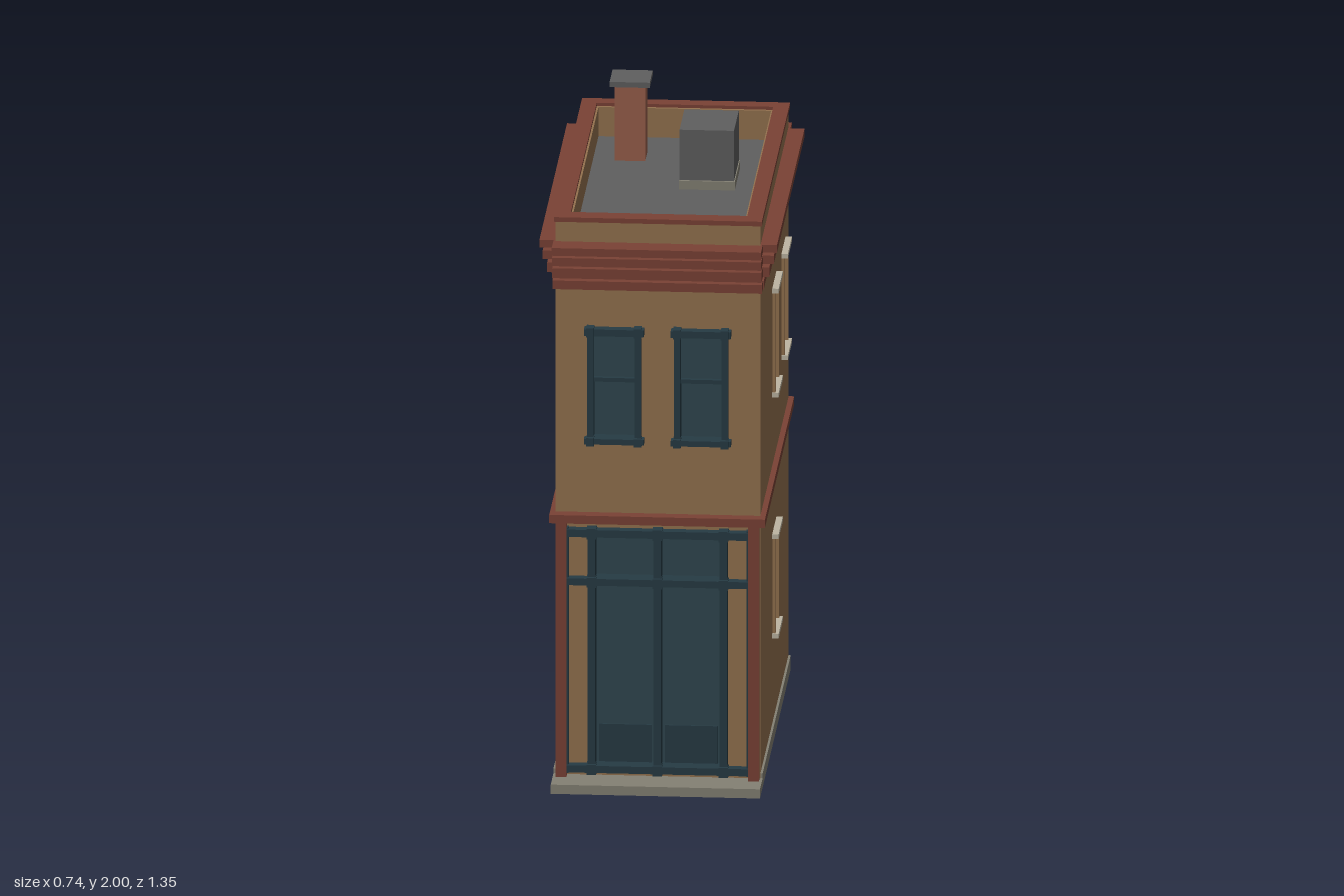
import * as THREE from 'three';

const mat = (name, color) => {
  const m = new THREE.MeshStandardMaterial({ color });
  m.name = name;
  return m;
};
const wall = mat('tan wall', 0x94724f);
const trim = mat('red trim', 0x7a4235);
const brick = mat('chimney brick', 0x985f4b);
const roofGrey = mat('roof grey', 0x5f5f5f);
const stone = mat('base stone', 0x848174);
const cream = mat('cream stone', 0xbdb5a2);
const frame = mat('dark teal frame', 0x263b44);
const glass = mat('teal panel', 0x304750);

// Box given by its minimum and maximum on each axis
function box(parent, name, m, x0, x1, y0, y1, z0, z1) {
  const mesh = new THREE.Mesh(new THREE.BoxGeometry(x1 - x0, y1 - y0, z1 - z0), m);
  mesh.position.set((x0 + x1) / 2, (y0 + y1) / 2, (z0 + z1) / 2);
  mesh.name = name;
  parent.add(mesh);
  return mesh;
}

const W = 0.318, FRONT = 0.565, BACK = -0.62, T = 0.05;
const MID = (FRONT + BACK) / 2;

// A wall with openings [x0, x1, y0, y1]; its outer face lies on local z = 0
function facade(name, halfWidth, openings) {
  const g = new THREE.Group();
  g.name = name;
  const rect = (P, x0, x1, y0, y1) => new P([[x0, y0], [x1, y0], [x1, y1], [x0, y1]]
    .map(([x, y]) => new THREE.Vector2(x, y)));
  const shape = rect(THREE.Shape, -halfWidth, halfWidth, 0.03, 1.835);
  for (const o of openings) shape.holes.push(rect(THREE.Path, ...o));
  const geo = new THREE.ExtrudeGeometry(shape, { depth: T, bevelEnabled: false });
  geo.translate(0, 0, -T);
  const mesh = new THREE.Mesh(geo, wall);
  mesh.name = 'wall';
  g.add(mesh);
  return g;
}

// Plain recessed window: pane, jambs, lintel and sill
function stoneWindow(g, [x0, x1, y0, y1]) {
  const w = new THREE.Group();
  w.name = 'sideWindow';
  g.add(w);
  box(w, 'pane', glass, x0, x1, y0, y1, -0.052, -0.045);
  for (const [a, b] of [[x0 - 0.012, x0 + 0.002], [x1 - 0.002, x1 + 0.012]])
    box(w, 'jamb', wall, a, b, y0, y1, -0.045, 0.01);
  box(w, 'lintel', cream, x0 - 0.017, x1 + 0.017, y1 - 0.003, y1 + 0.012, -0.045, 0.02);
  box(w, 'sill', cream, x0 - 0.017, x1 + 0.017, y0 - 0.012, y0 + 0.003, -0.045, 0.02);
}

// Upper front sash window
function sashWindow(g, cx) {
  const w = new THREE.Group();
  w.name = 'sashWindow';
  w.position.x = cx;
  g.add(w);
  box(w, 'lowerSash', glass, -0.07, 0.07, 1.12, 1.32, -0.03, -0.02);
  box(w, 'upperSash', glass, -0.07, 0.07, 1.32, 1.48, -0.02, -0.01);
  box(w, 'meetingRail', frame, -0.07, 0.07, 1.312, 1.325, -0.03, 0.005);
  for (const s of [-1, 1]) {
    const x = s * 0.074;
    box(w, 'stile', frame, x - 0.01, x + 0.01, 1.12, 1.48, -0.03, 0.025);
    for (const [y0, y1] of [[1.11, 1.137], [1.465, 1.495]])
      box(w, 'cornerBlock', frame, x - 0.012, x + 0.012, y0, y1, 0, 0.036);
  }
  box(w, 'head', frame, -0.093, 0.093, 1.468, 1.49, -0.03, 0.031);
  box(w, 'sill', frame, -0.093, 0.093, 1.115, 1.133, -0.03, 0.031);
}

// Double door with transom lights and side bays
function shopfront(g) {
  const s = new THREE.Group();
  s.name = 'shopfront';
  g.add(s);
  for (const d of [-1, 1]) {
    const at = (name, m, a, b, ...r) => box(s, name, m, Math.min(d * a, d * b), Math.max(d * a, d * b), ...r);
    at('doorLeaf', glass, 0, 0.2, 0.05, 0.835, -0.035, -0.025);
    at('transomPanel', glass, 0.022, 0.182, 0.69, 0.805, -0.025, -0.019);
    at('doorPanel', glass, 0.022, 0.182, 0.2, 0.64, -0.025, -0.019);
    at('kickPanel', frame, 0.02, 0.184, 0.068, 0.19, -0.025, -0.019);
    at('doorPost', frame, 0.193, 0.217, 0.04, 0.84, -0.03, 0.028);
    at('pilaster', trim, 0.282, 0.316, 0.03, 0.86, 0, 0.033);
    at('sidePost', frame, 0.276, 0.284, 0.04, 0.84, 0, 0.022);
  }
  box(s, 'centrePost', frame, -0.012, 0.012, 0.04, 0.84, -0.03, 0.028);
  for (const [y0, y1] of [[0.045, 0.068], [0.655, 0.677], [0.812, 0.836]]) {
    box(s, 'rail', frame, -0.288, 0.288, y0, y1, -0.03, 0.03);
    for (const x of [-0.205, 0, 0.205])
      box(s, 'railBlock', frame, x - 0.015, x + 0.015, y0 - 0.005, y1 + 0.005, 0, 0.036);
  }
}

export function createModel() {
  const model = new THREE.Group();
  model.name = 'townhouse';

  // Base and front step
  box(model, 'base', stone, -0.325, 0.325, 0, 0.045, -0.625, FRONT - 0.005);
  box(model, 'frontStep', stone, -0.325, 0.325, 0, 0.03, FRONT - 0.005, 0.675);

  // Front
  const front = facade('front', W, [
    [-0.2, 0.2, 0.05, 0.835],
    [-0.205, -0.065, 1.12, 1.48], [0.065, 0.205, 1.12, 1.48]]);
  front.position.z = FRONT;
  shopfront(front);
  for (const x of [-0.135, 0.135]) sashWindow(front, x);
  model.add(front);

  // Back
  const backHoles = [];
  for (const x of [-0.14, 0.14])
    for (const y of [0.335, 1.11]) backHoles.push([x - 0.073, x + 0.073, y, y + 0.325]);
  const back = facade('back', W, backHoles);
  back.position.z = BACK;
  back.rotation.y = Math.PI;
  backHoles.forEach((o) => stoneWindow(back, o));
  model.add(back);

  // Sides, mirrored: openings listed as [front z, rear z, bottom, top]
  const half = (FRONT - BACK) / 2 - T;
  for (const s of [-1, 1]) {
    const holes = [[0.045, -0.1, 0.335, 0.65], [0.045, -0.1, 1.12, 1.45], [-0.345, -0.485, 1.115, 1.437]]
      .map(([a, b, y0, y1]) => {
        const u = [-s * (a - MID), -s * (b - MID)].sort((p, q) => p - q);
        return [u[0], u[1], y0, y1];
      });
    const side = facade(s > 0 ? 'leftSide' : 'rightSide', half, holes);
    side.position.set(s * W, 0, MID);
    side.rotation.y = s * Math.PI / 2;
    holes.forEach((o) => stoneWindow(side, o));
    model.add(side);
  }

  // Band between the floors: four strips round the walls
  const ring = (name, m, y0, y1, xo, xi, zf, zfi, zb, zbi) => {
    box(model, name, m, -xo, xo, y0, y1, zfi, zf);
    box(model, name, m, -xo, xo, y0, y1, zb, zbi);
    for (const s of [-1, 1])
      box(model, name, m, Math.min(s * xi, s * xo), Math.max(s * xi, s * xo), y0, y1, zbi, zfi);
  };
  ring('floorBand', trim, 0.858, 0.885, 0.335, 0.3, 0.603, 0.55, -0.637, -0.6);

  // Stepped cornice with open corners
  for (const [y0, y1, x, zf, zb] of [
    [1.62, 1.648, 0.328, 0.6, -0.634], [1.66, 1.692, 0.345, 0.613, -0.649],
    [1.703, 1.73, 0.359, 0.625, -0.661], [1.74, 1.765, 0.369, 0.635, -0.675]]) {
    box(model, 'cornice', trim, -0.325, 0.325, y0, y1, FRONT - 0.01, zf);
    box(model, 'cornice', trim, -0.325, 0.325, y0, y1, zb, BACK + 0.01);
    for (const s of [-1, 1])
      box(model, 'cornice', trim, Math.min(s * 0.3, s * x), Math.max(s * 0.3, s * x), y0, y1, -0.615, 0.555);
  }

  // Parapet coping and flat roof
  ring('coping', trim, 1.83, 1.845, 0.323, 0.274, 0.571, 0.515, -0.627, -0.58);
  box(model, 'roof', roofGrey, -W + T, W - T, 1.71, 1.74, BACK + T, FRONT - T);

  // Roof hatch on its kerb
  box(model, 'hatchKerb', stone, 0.02, 0.193, 1.74, 1.768, -0.277, -0.057);
  box(model, 'hatch', roofGrey, 0.021, 0.19, 1.768, 1.932, -0.268, -0.064);

  // Chimney
  box(model, 'chimney', brick, -0.2, -0.105, 1.74, 1.985, -0.425, -0.33);
  box(model, 'chimneyCap', roofGrey, -0.215, -0.09, 1.983, 2, -0.442, -0.317);
  return model;
}
